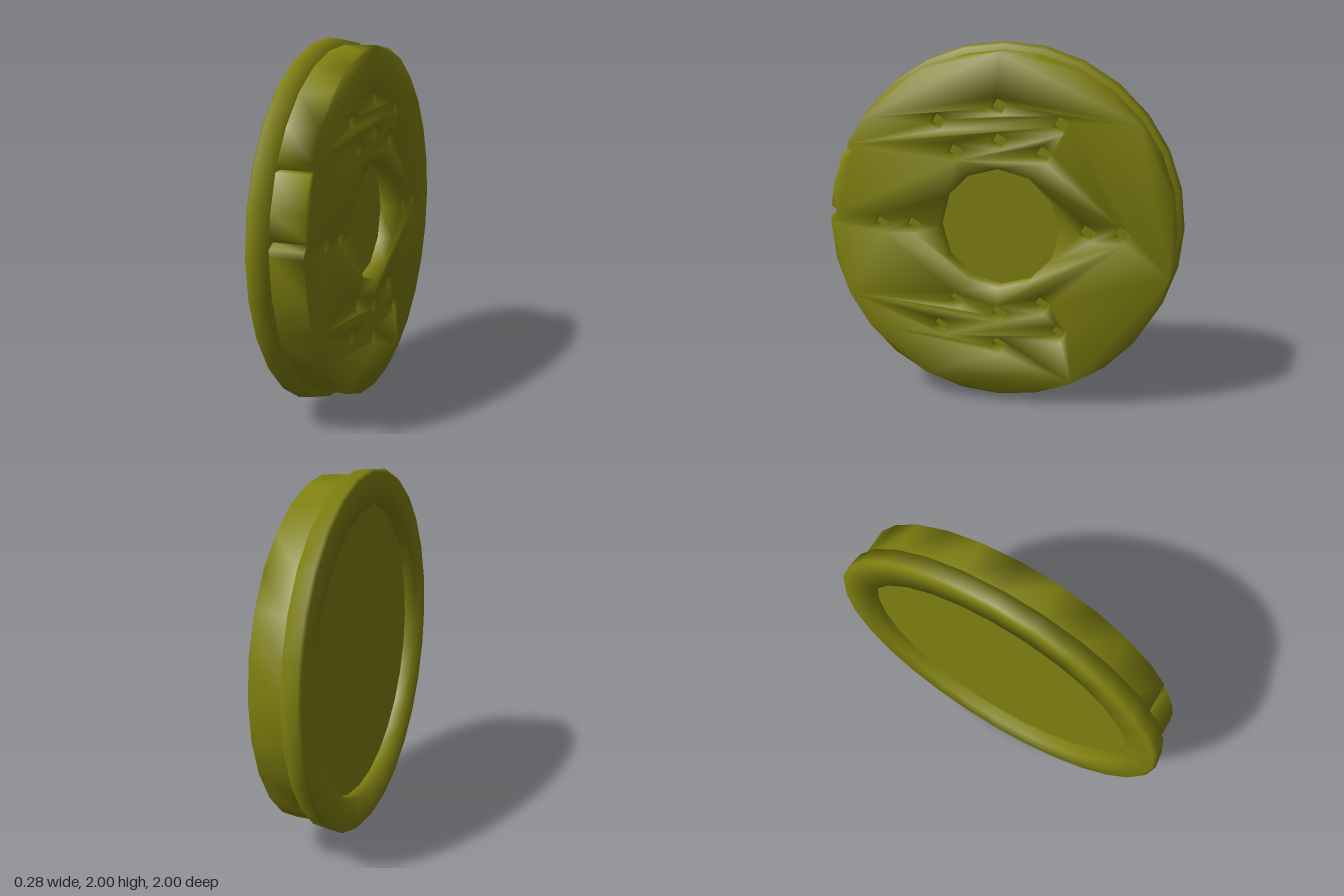
import * as THREE from 'three';
import { mergeGeometries, toCreasedNormals } from 'three/addons/utils/BufferGeometryUtils.js';

const SIDES = 28;
const SOFT = 1.7; // rims blend softly into the faces
const FACE = 0.14; // outer face of the disc
const FLOOR = 0.05; // bottom of the openings
const LIP = -0.04; // where disc meets flange
const DEG = Math.PI / 180;

// Corners of a regular polygon
function polygon(cx, cy, r, sides, turn) {
  return Array.from({ length: sides }, (_, i) => {
    const a = turn + (i / sides) * Math.PI * 2;
    return new THREE.Vector2(cx + r * Math.cos(a), cy + r * Math.sin(a));
  });
}

// Round outline with narrow V cuts in the rim
function notchedOutline(radius, notches) {
  const polar = [];
  for (let i = 0; i < SIDES; i++) {
    const a = (i / SIDES) * Math.PI * 2;
    if (!notches.some((n) => Math.abs(a - n) < 0.05)) polar.push([a, radius]);
  }
  for (const n of notches) polar.push([n - 0.03, radius], [n, radius - 0.045], [n + 0.03, radius]);
  polar.sort((p, q) => p[0] - q[0]);
  return polar.map(([a, r]) => new THREE.Vector2(r * Math.cos(a), r * Math.sin(a)));
}

// Band along an outline: faces outward when z1 > z0, inward otherwise
function wall(points, z0, z1) {
  const pos = [];
  points.forEach((a, i) => {
    const b = points[(i + 1) % points.length];
    pos.push(a.x, a.y, z0, b.x, b.y, z0, b.x, b.y, z1);
    pos.push(a.x, a.y, z0, b.x, b.y, z1, a.x, a.y, z1);
  });
  return new THREE.BufferGeometry().setAttribute('position', new THREE.Float32BufferAttribute(pos, 3));
}

// Flat filled outline facing +z
function cap(points, holes, z) {
  const shape = new THREE.Shape(points);
  shape.holes = holes.map((h) => new THREE.Path(h));
  const geometry = new THREE.ShapeGeometry(shape).translate(0, 0, z).toNonIndexed();
  geometry.deleteAttribute('uv');
  geometry.deleteAttribute('normal');
  return geometry;
}

export function createModel() {
  const group = new THREE.Group();
  const material = new THREE.MeshStandardMaterial({ color: 0x808010 });
  const add = (geometry, name, y = 1, z = 0) => {
    const mesh = new THREE.Mesh(toCreasedNormals(geometry, SOFT), material);
    mesh.name = name;
    mesh.position.set(0, y, z);
    group.add(mesh);
  };

  // Openings: a central one and two rings of small square holes
  const openings = [polygon(0, 0.005, 0.335, 12, 0)];
  for (const angle of [0, 60, 90, 120, 180, 240, 270, 300]) {
    for (const r of [0.485, 0.67]) {
      const a = angle * DEG;
      openings.push(polygon(r * Math.cos(a), 0.005 + r * Math.sin(a), 0.05, 4, 0.25));
    }
  }

  // Thick disc with notched rim
  const outline = notchedOutline(0.955, [154 * DEG, 176 * DEG]);
  const disc = mergeGeometries([
    cap(outline, openings, FACE),
    wall(outline, LIP, FACE),
    ...openings.map((o) => wall(o, FACE, FLOOR)),
  ]);
  add(disc.rotateY(Math.PI / 2), 'drilledDisc', 1.005, -0.01);

  // Bottoms of the openings
  const floors = mergeGeometries(openings.map((o) => cap(o, [], FLOOR)));
  add(floors.rotateY(Math.PI / 2), 'openingFloors', 1.005, -0.01);

  // Wider rim flange with a recess at the back
  const profile = [
    [0.815, -0.07], [0.815, -0.14], [0.985, -0.145], [1, -0.13], [0.988, LIP], [0.89, LIP],
  ].map(([r, x]) => new THREE.Vector2(r, x));
  add(new THREE.LatheGeometry(profile, SIDES).rotateZ(-Math.PI / 2), 'rimFlange');

  // Flat back of the recess
  const back = new THREE.CircleGeometry(0.815, SIDES).rotateY(-Math.PI / 2).translate(-0.07, 0, 0);
  add(back, 'recessFloor');

  return group;
}
